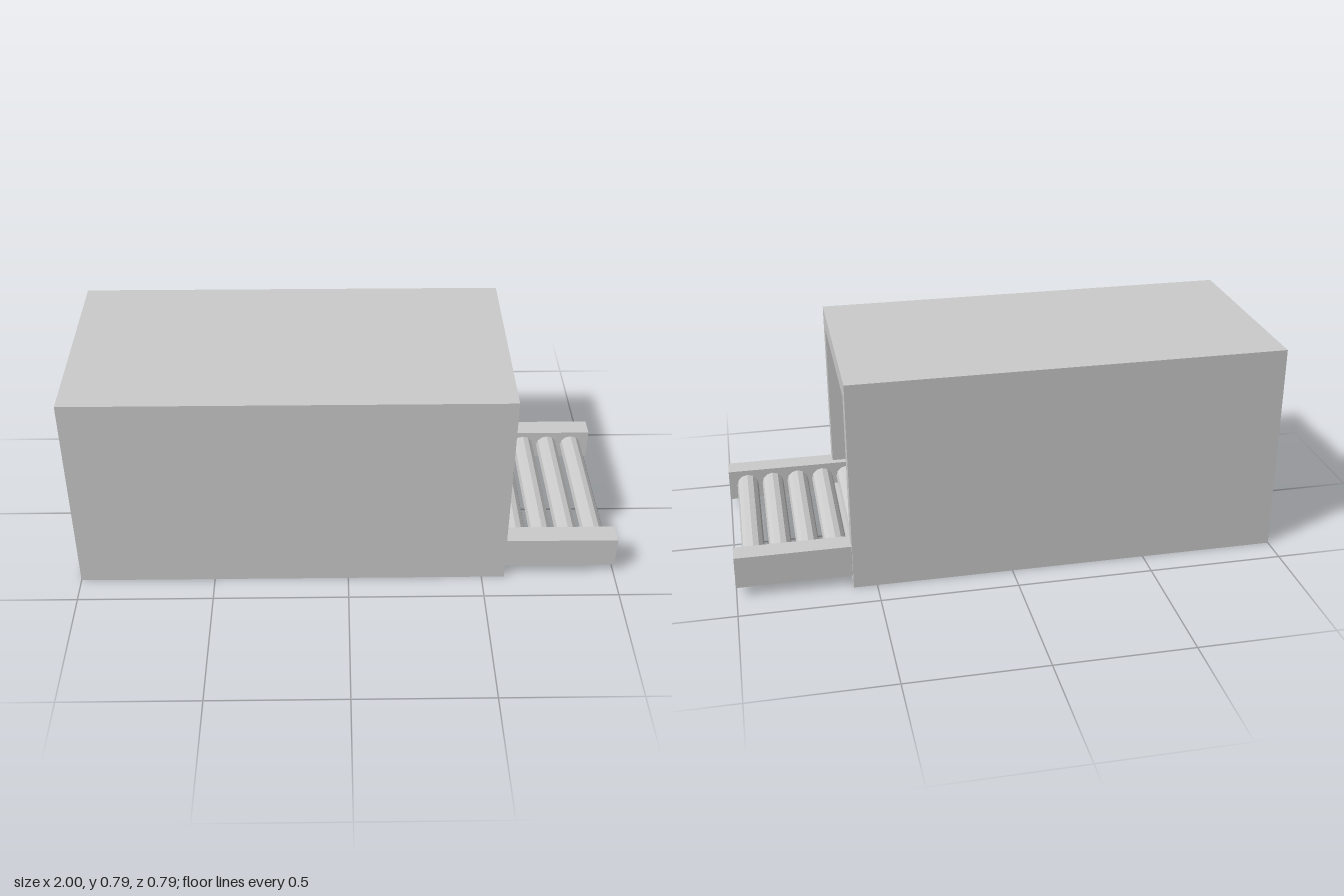
import * as THREE from 'three';

export function createModel() {
  const model = new THREE.Group();
  const material = new THREE.MeshStandardMaterial({ color: 0xcccccc, flatShading: true });

  function add(name, geometry, x = 0, y = 0, z = 0, parent = model) {
    const mesh = new THREE.Mesh(geometry, material);
    mesh.name = name;
    mesh.position.set(x, y, z);
    parent.add(mesh);
    return mesh;
  }

  // Square tunnel: a frame section extruded along x
  const length = 1.585, half = 0.395, inner = 0.325;
  const section = new THREE.Shape([
    new THREE.Vector2(-half, 0), new THREE.Vector2(half, 0),
    new THREE.Vector2(half, 0.792), new THREE.Vector2(-half, 0.792),
  ]);
  section.holes.push(new THREE.Path([
    new THREE.Vector2(-inner, 0.07), new THREE.Vector2(-inner, 0.724),
    new THREE.Vector2(inner, 0.724), new THREE.Vector2(inner, 0.07),
  ]));
  const tunnel = new THREE.ExtrudeGeometry(section, { depth: length, bevelEnabled: false });
  tunnel.rotateY(Math.PI / 2);
  add('tunnelHousing', tunnel, -1);

  // Panel hanging from the ceiling near the closed-off end
  add('hangingPanel', new THREE.BoxGeometry(0.02, 0.63, 0.636), -0.79, 0.412, 0);

  // Roller conveyor running through the tunnel and out of the +x end
  const conveyor = new THREE.Group();
  conveyor.name = 'conveyor';
  model.add(conveyor);

  for (const side of [-1, 1]) {
    add(side > 0 ? 'frontRail' : 'backRail',
      new THREE.BoxGeometry(length, 0.12, 0.079), 1 - length / 2, 0.1, side * 0.3385, conveyor);
  }

  const roller = new THREE.CylinderGeometry(0.0415, 0.0415, 0.61, 12);
  roller.rotateX(Math.PI / 2);
  for (let i = 0; i < 16; i++) {
    add('roller', roller, 0.928 - i * 0.0985, 0.1, 0, conveyor);
  }

  return model;
}
